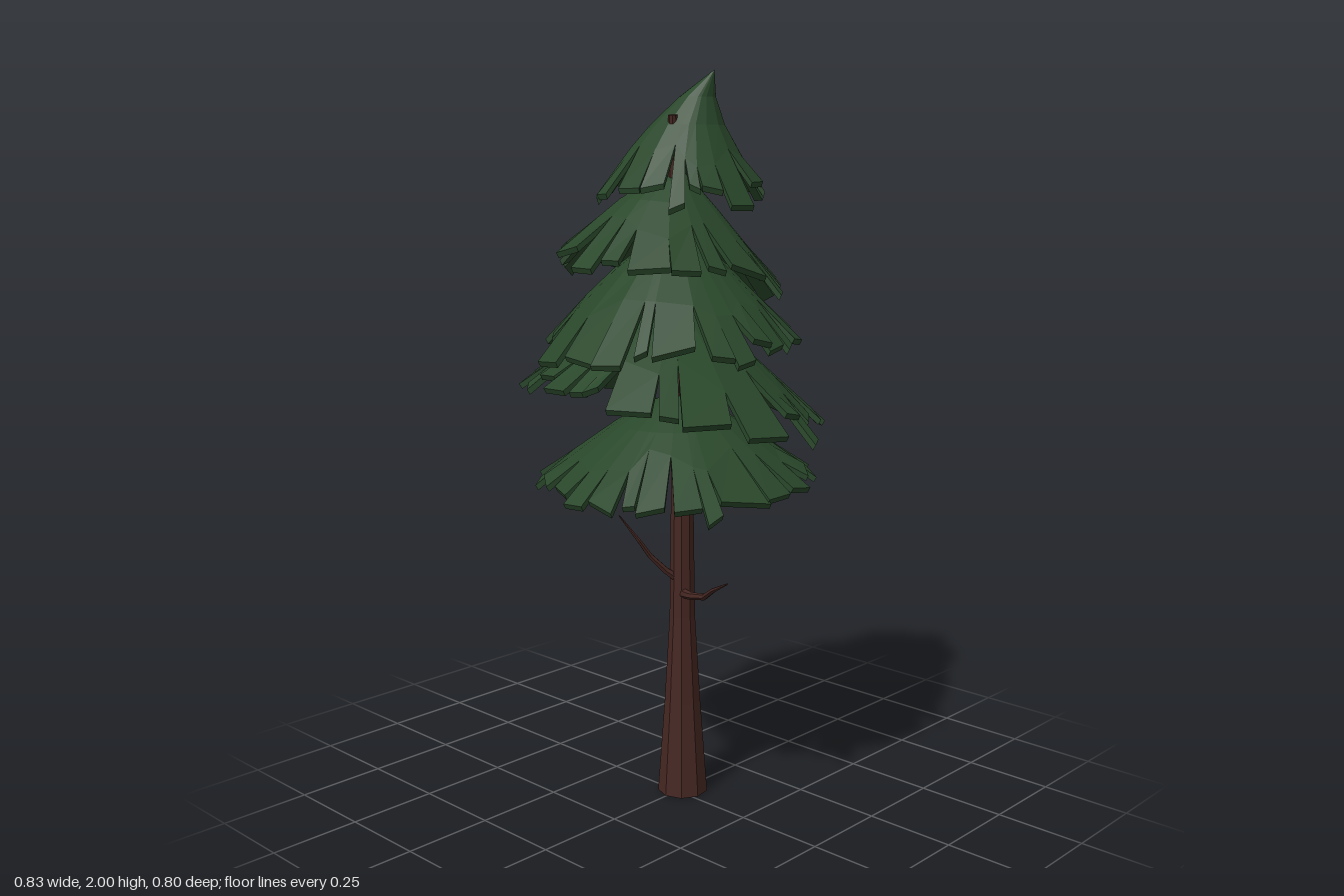
import * as THREE from 'three';

const green = new THREE.MeshStandardMaterial({ color: 0x29472a, flatShading: true });
const bark = new THREE.MeshStandardMaterial({ color: 0x452722, flatShading: true });

function seeded(seed) {
  let s = seed;
  return (lo, hi) => {
    s = (s * 16807) % 2147483647;
    return lo + (hi - lo) * (s / 2147483647);
  };
}

// Tapered limb: each point is [x, y, z, radius]
function limb(name, points, sides) {
  const n = points.length - 1;
  const centres = points.map((p) => new THREE.Vector3(p[0], p[1], p[2]));
  const up = new THREE.Vector3(0, 1, 0);
  const turns = centres.map((c, i) => {
    const dir = centres[Math.min(i + 1, n)].clone().sub(centres[Math.max(i - 1, 0)]).normalize();
    return new THREE.Quaternion().setFromUnitVectors(up, dir);
  });
  const geo = new THREE.CylinderGeometry(1, 1, 1, sides, n);
  const pos = geo.attributes.position;
  const v = new THREE.Vector3();
  for (let k = 0; k < pos.count; k++) {
    const i = Math.round((pos.getY(k) + 0.5) * n);
    const r = points[i][3];
    v.set(pos.getX(k) * r, 0, pos.getZ(k) * r).applyQuaternion(turns[i]).add(centres[i]);
    pos.setXYZ(k, v.x, v.y, v.z);
  }
  geo.computeVertexNormals();
  const mesh = new THREE.Mesh(geo, bark);
  mesh.name = name;
  return mesh;
}

// Skirt of needles: a domed shell whose rim is cut into ragged flaps
function skirt({ name, apex, rim, radius, dome = 1.3, tilt = [0, 0], flaps, seed }) {
  const rand = seeded(seed);
  const thick = 0.014;
  const out = [];
  const quad = (a, b, c, d) => [a, b, c, a, c, d].forEach((p) => out.push(p.x, p.y, p.z));

  // Point on the shell at angle a and fraction s from apex (0) to rim (1)
  const at = (a, s, lift = 0) => {
    const bend = Math.max(0, 1 - s) ** 3;
    const dx = Math.sin(a), dz = Math.cos(a);
    return new THREE.Vector3(
      rim[0] + (apex[0] - rim[0]) * bend + dx * radius * s,
      apex[1] + (rim[1] - apex[1]) * s ** dome + (tilt[0] * dx + tilt[1] * dz) * s + lift,
      rim[2] + (apex[2] - rim[2]) * bend + dz * radius * s
    );
  };
  const inner = (p) => new THREE.Vector3(
    rim[0] + (p.x - rim[0]) * 0.98, p.y - thick, rim[2] + (p.z - rim[2]) * 0.98);
  const sheet = (a, b, c, d) => {
    quad(a, b, c, d);
    quad(inner(b), inner(a), inner(d), inner(c));
  };

  // Uneven flap widths and notch depths
  const widths = Array.from({ length: flaps }, () => rand(0.4, 1.6));
  const total = widths.reduce((a, b) => a + b, 0);
  const notches = widths.map(() => rand(0.58, 0.8));
  let a0 = rand(0.1, 0.6);
  for (let i = 0; i < flaps; i++) {
    const w = widths[i] / total * Math.PI * 2;
    const a1 = a0 + w;
    const n0 = notches[i], n1 = notches[(i + 1) % flaps];

    // Smooth upper dome
    const rings = [[0, 0], [0.22, 0.22], [0.45, 0.45], [n0, n1]];
    for (let k = 0; k < 3; k++) {
      const [h, l] = [rings[k], rings[k + 1]];
      sheet(at(a0, l[0]), at(a1, l[1]), at(a1, h[1]), at(a0, h[0]));
    }

    // Hanging flap with square end
    const reach = rand(0.92, 1.08), skew = rand(-0.03, 0.03);
    const lift = rand(-0.01, 0.02), swing = rand(-0.05, 0.05);
    const taper = w * rand(0.02, 0.14);
    const tl = at(a0, n0), tr = at(a1, n1);
    const bl = at(a0 + taper + swing, reach + skew, lift);
    const br = at(a1 - taper + swing, reach - skew, lift);
    sheet(bl, br, tr, tl);
    quad(inner(bl), bl, tl, inner(tl));
    quad(br, inner(br), inner(tr), tr);
    quad(inner(bl), inner(br), br, bl);
    a0 = a1;
  }
  const geo = new THREE.BufferGeometry();
  geo.setAttribute('position', new THREE.Float32BufferAttribute(out, 3));
  geo.computeVertexNormals();
  const mesh = new THREE.Mesh(geo, green);
  mesh.name = name;
  return mesh;
}

export function createModel() {
  const tree = new THREE.Group();
  tree.name = 'pineTree';

  // Trunk, flared at the foot, its tip poking through the top skirt
  tree.add(limb('trunk', [
    [-0.002, 0, -0.025, 0.071], [-0.002, 0.27, -0.024, 0.051], [-0.002, 0.52, -0.023, 0.036],
    [0, 0.9, -0.02, 0.031], [0.005, 1.3, 0, 0.027], [0.02, 1.6, 0.025, 0.021], [0.042, 1.885, 0.06, 0.012],
  ], 9));

  // Bare twigs
  tree.add(limb('leftTwig', [
    [0.01, 0.59, -0.01, 0.015], [0.06, 0.595, 0.01, 0.011], [0.12, 0.607, 0.02, 0.009],
    [0.17, 0.64, 0.04, 0.007], [0.24, 0.677, 0.06, 0.002],
  ], 6));
  tree.add(limb('rightTwig', [
    [0, 0.625, -0.01, 0.013], [-0.02, 0.655, 0.025, 0.01], [-0.04, 0.7, 0.065, 0.008],
    [-0.05, 0.75, 0.1, 0.006], [-0.08, 0.823, 0.145, 0.002],
  ], 6));

  // Needle skirts, bottom to top
  [
    { name: 'skirt1', apex: [0, 1.16, -0.01], rim: [0, 0.915, 0], radius: 0.38, flaps: 25, seed: 11 },
    { name: 'skirt2', apex: [0, 1.41, 0], rim: [-0.005, 1.135, 0.005], radius: 0.395, tilt: [-0.035, 0.05], flaps: 24, seed: 257 },
    { name: 'skirt3', apex: [0.01, 1.6, 0], rim: [0, 1.295, 0.03], radius: 0.34, tilt: [0, -0.01], flaps: 22, seed: 4021 },
    { name: 'skirt4', apex: [0.02, 1.75, 0.01], rim: [-0.02, 1.475, 0.02], radius: 0.3, tilt: [-0.005, 0.045], flaps: 21, seed: 90533 },
    { name: 'skirt5', apex: [0.09, 2, -0.045], rim: [0, 1.69, -0.02], radius: 0.22, dome: 1, flaps: 18, seed: 777123 },
  ].forEach((s) => tree.add(skirt(s)));

  return tree;
}
